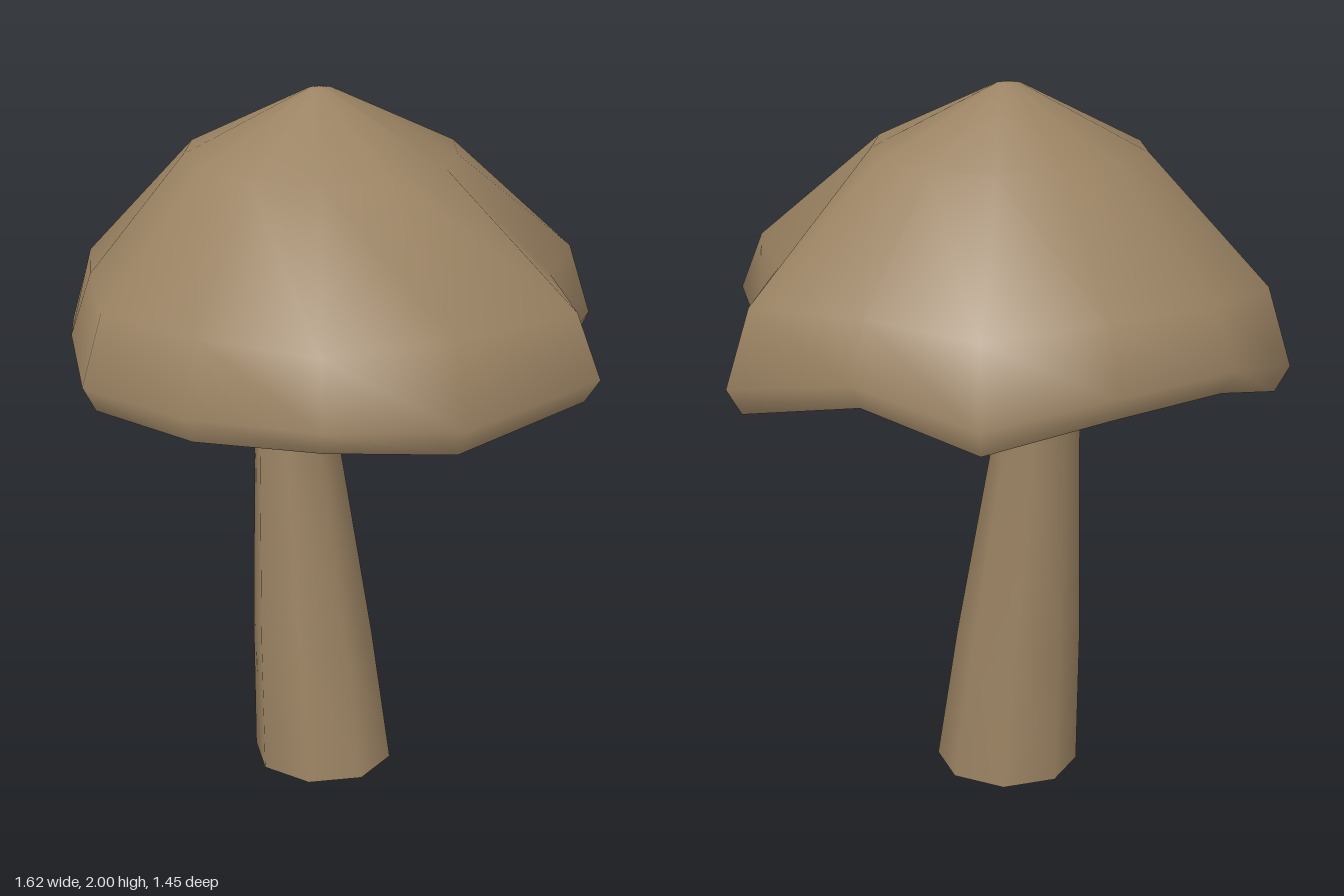
import * as THREE from 'three';

// Cap outline, counter-clockwise from above: x, z, height of the wavy lip
const OUTLINE = [
  [0.81, -0.01, 1.27], [0.55, -0.33, 1.25], [0.42, -0.70, 1.20], [0.03, -0.73, 1.28],
  [-0.32, -0.72, 1.20], [-0.58, -0.48, 1.26], [-0.78, -0.19, 1.28], [-0.81, 0.17, 1.19],
  [-0.58, 0.44, 1.26], [-0.32, 0.70, 1.23], [0.03, 0.72, 1.22], [0.44, 0.71, 1.27],
  [0.62, 0.34, 1.19],
];
const CENTRE_X = -0.05;

// Skin a stack of equal-length rings with smooth normals
function loft(rings) {
  const n = rings[0].length;
  const index = [];
  for (let r = 0; r < rings.length - 1; r++) {
    for (let i = 0; i < n; i++) {
      const a = r * n + i, b = r * n + (i + 1) % n;
      index.push(a, b, a + n, b, b + n, a + n);
    }
  }
  const g = new THREE.BufferGeometry();
  g.setAttribute('position', new THREE.Float32BufferAttribute(rings.flat(2), 3));
  g.setIndex(index);
  g.computeVertexNormals();
  return g;
}

// Ring following the outline: scaled, optionally rounded towards a circle,
// with its height following the lip by the given amount
function capRing(scale, y, wave, round = 0, radius = 0) {
  return OUTLINE.map(([x, z, lip]) => {
    const dx = x - CENTRE_X, len = Math.hypot(dx, z);
    const k = THREE.MathUtils.lerp(scale, radius / len, round);
    return [CENTRE_X + dx * k, y + (lip - 1.24) * wave, z * k];
  });
}

// Ring of the stem: centre x, height, radius in x and in z
function stemRing(cx, y, rx, rz, sides = 8) {
  return Array.from({ length: sides }, (_, i) => {
    const a = ((i + 0.5) / sides) * Math.PI * 2;
    const k = 1 / Math.cos(Math.PI / sides);
    return [cx + Math.cos(a) * rx * k, y, -Math.sin(a) * rz * k];
  });
}

export function createModel() {
  const model = new THREE.Group();
  const brown = new THREE.MeshStandardMaterial({ color: 0x9a8262, side: THREE.DoubleSide });
  brown.name = 'mushroomBrown';
  const add = (name, geometry) => {
    const mesh = new THREE.Mesh(geometry, brown);
    mesh.name = name;
    model.add(mesh);
  };

  // Domed cap with a wavy rim
  const lip = capRing(0.95, 1.24, 1);
  add('capTop', loft([
    lip,
    capRing(1, 1.31, 0.9),
    capRing(0.915, 1.495, 0.3),
    capRing(0.5, 1.825, 0, 0.7, 0.38),
    capRing(0.05, 1.995, 0, 1, 0.035),
    capRing(0, 2, 0),
  ]));

  // Shallow underside
  add('capUnderside', loft([
    capRing(0, 1.27, 0),
    capRing(0.5, 1.26, 0.4),
    lip,
  ]));

  // Leaning stem, open at the foot
  add('stem', loft([
    stemRing(-0.05, 0, 0.19, 0.185),
    stemRing(-0.085, 0.4, 0.165, 0.16),
    stemRing(-0.135, 0.97, 0.115, 0.115),
    stemRing(-0.13, 1.27, 0.12, 0.112),
  ]));

  // Thin gill blades radiating from the stem
  const gills = new THREE.Group();
  gills.name = 'gills';
  const blade = new THREE.BufferGeometry();
  blade.setAttribute('position', new THREE.Float32BufferAttribute(
    [0.18, 1.27, 0, 0.42, 1.205, 0, 0.56, 1.255, 0], 3));
  blade.computeVertexNormals();
  const count = 16;
  for (let i = 0; i < count; i++) {
    const gill = new THREE.Mesh(blade, brown);
    gill.name = 'gill';
    gill.position.x = CENTRE_X;
    gill.rotation.y = ((i + 0.3) / count) * Math.PI * 2;
    gills.add(gill);
  }
  model.add(gills);

  return model;
}
